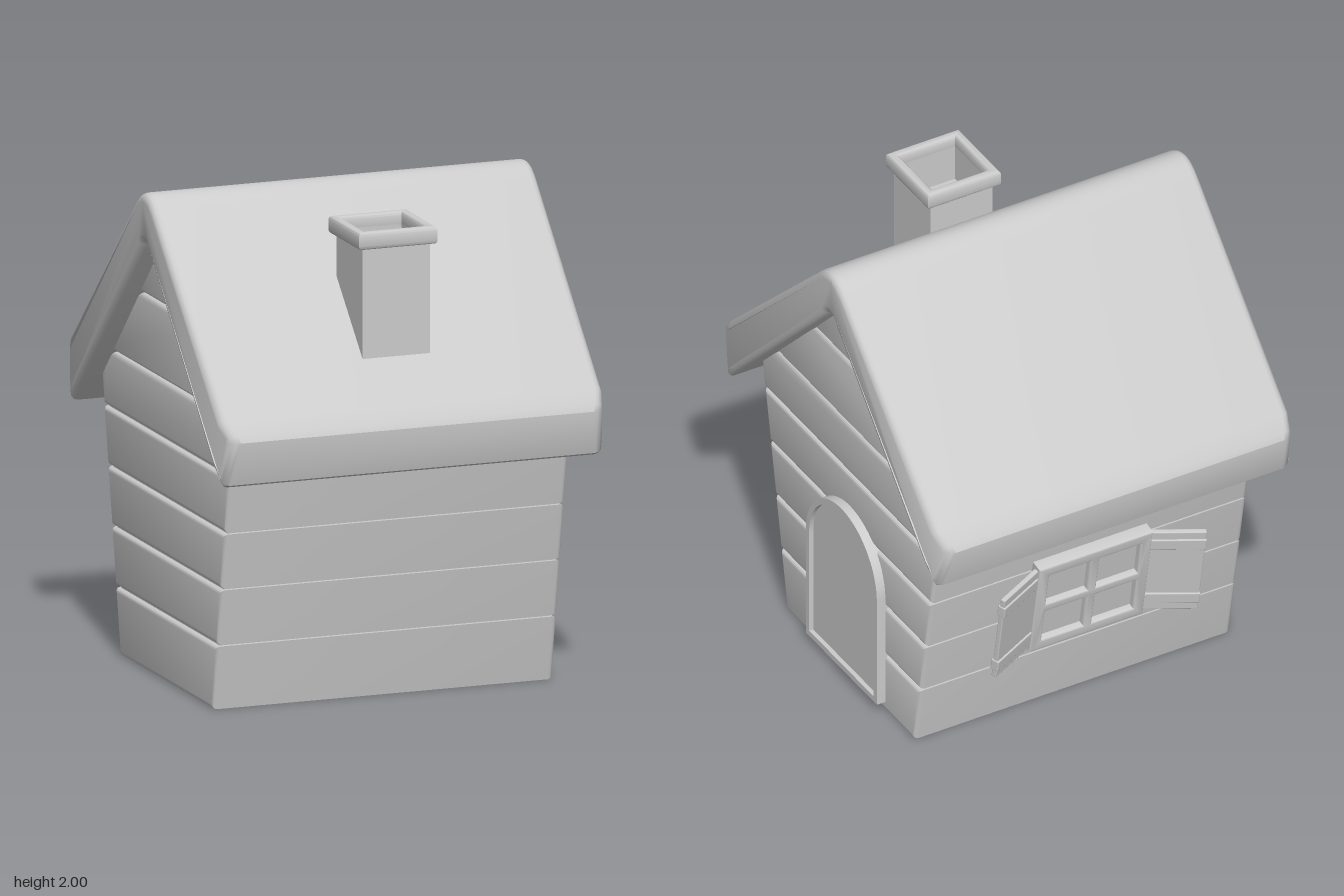
import * as THREE from 'three';
import { toCreasedNormals } from 'three/addons/utils/BufferGeometryUtils.js';
import { RoundedBoxGeometry } from 'three/addons/geometries/RoundedBoxGeometry.js';

const mat = new THREE.MeshStandardMaterial({ color: 0xcccccc, side: THREE.DoubleSide });

function add(parent, name, geometry, x = 0, y = 0, z = 0) {
  const mesh = new THREE.Mesh(geometry, mat);
  mesh.name = name;
  mesh.position.set(x, y, z);
  parent.add(mesh);
  return mesh;
}

const polygon = (pts) => new THREE.Shape(pts.map(([x, y]) => new THREE.Vector2(x, y)));

// Extrusion centred on its depth, with a bevel that stays inside the outline
function extrude(shape, depth, bevel, curveSegments = 12) {
  const geo = new THREE.ExtrudeGeometry(shape, {
    depth: depth - 2 * bevel, bevelEnabled: bevel > 0, bevelThickness: bevel,
    bevelSize: bevel, bevelOffset: -bevel, bevelSegments: 3, curveSegments,
  });
  geo.translate(0, 0, -(depth - 2 * bevel) / 2);
  return geo;
}

const alongX = (geo) => geo.rotateY(Math.PI / 2);
const smooth = (geo) => toCreasedNormals(geo, 0.65);

// Wall half width (in z) at height y: flares outward, then follows the gable
const SLOPE = 0.178, EAVE_Y = 1.167;
const wallZ = (y) => Math.max(0.004, Math.min(0.505 + SLOPE * y, 1.88 - y));

function wallShape(y0, y1, inset = 0) {
  const ys = [y0, y1];
  if (y0 < EAVE_Y && y1 > EAVE_Y) ys.splice(1, 0, EAVE_Y);
  const right = ys.map((y) => [wallZ(y) - inset, y]);
  return polygon([...right, ...right.slice().reverse().map(([z, y]) => [-z, y])]);
}

function makeWalls() {
  const walls = new THREE.Group();
  walls.name = 'walls';
  add(walls, 'wallCore', alongX(extrude(wallShape(0.02, 1.83, 0.018), 1.41, 0)));
  const seams = [0, 0.27, 0.508, 0.745, 0.983, 1.223, 1.53, 1.85];
  for (let i = 0; i < seams.length - 1; i++) {
    const y0 = seams[i] + (i ? 0.004 : 0);
    const shape = wallShape(y0, seams[i + 1] - 0.004);
    add(walls, 'plank', smooth(alongX(extrude(shape, 1.45, 0.02))));
  }
  return walls;
}

// Thick bent roof, with the ends of the eaves pulled in to round the corners
function makeRoof() {
  const side = [[0.82, 1.248], [0.872, 1.197], [0.886, 1.17], [0.832, 0.988], [0.812, 0.978], [0.74, 1.052]];
  const s = new THREE.Shape();
  s.moveTo(0.05, 1.765);
  s.quadraticCurveTo(0, 1.85, -0.05, 1.765);
  for (const [z, y] of side.slice().reverse()) s.lineTo(-z, y);
  s.lineTo(-0.1, 1.95);
  s.quadraticCurveTo(0, 2.05, 0.1, 1.95);
  for (const [z, y] of side) s.lineTo(z, y);
  s.closePath();
  const geo = alongX(extrude(s, 1.64, 0.03, 10));
  const p = geo.attributes.position;
  for (let i = 0; i < p.count; i++) {
    const t = THREE.MathUtils.clamp((Math.abs(p.getZ(i)) - 0.76) / 0.13, 0, 1);
    p.setX(i, p.getX(i) * (1 - 0.05 * t * t));
  }
  const roof = new THREE.Mesh(toCreasedNormals(geo, 0.75), mat);
  roof.name = 'roof';
  return roof;
}

function squareRing(outer, inner) {
  const square = (r) => [[-r, -r], [r, -r], [r, r], [-r, r]];
  const s = polygon(square(outer));
  s.holes.push(polygon(square(inner).reverse()));
  return s;
}

function makeChimney() {
  const chimney = new THREE.Group();
  chimney.name = 'chimney';
  const upright = (geo) => smooth(geo.rotateX(-Math.PI / 2));
  add(chimney, 'chimneyShaft', upright(extrude(squareRing(0.143, 0.128), 0.62, 0)), 0, 1.57, 0);
  add(chimney, 'chimneyCap', upright(extrude(squareRing(0.167, 0.128), 0.072, 0.014)), 0, 1.894, 0);
  add(chimney, 'chimneyFloor', new THREE.BoxGeometry(0.26, 0.02, 0.26), 0, 1.71, 0);
  chimney.position.z = 0.51;
  return chimney;
}

function archShape(r, bottom, spring) {
  const s = new THREE.Shape();
  s.moveTo(-r, bottom);
  s.lineTo(r, bottom);
  s.lineTo(r, spring);
  s.absarc(0, spring, r, 0, Math.PI, false);
  s.closePath();
  return s;
}

function makeDoor() {
  const door = new THREE.Group();
  door.name = 'door';
  const frame = archShape(0.28, 0.043, 0.55);
  frame.holes.push(archShape(0.255, 0.068, 0.55));
  add(door, 'doorFrame', smooth(alongX(extrude(frame, 0.08, 0, 20))), 0.724);
  add(door, 'doorPanel', smooth(alongX(extrude(archShape(0.26, 0.06, 0.55), 0.06, 0, 20))), 0.715);
  return door;
}

function rect(x, y, w, h) {
  return polygon([[x - w / 2, y - h / 2], [x + w / 2, y - h / 2], [x + w / 2, y + h / 2], [x - w / 2, y + h / 2]]);
}

// Four-pane window with a pair of half-open shutters, leaning with the back wall
function makeWindow() {
  const win = new THREE.Group();
  win.name = 'window';
  const frame = rect(0, 0, 0.52, 0.46);
  for (const sx of [-1, 1])
    for (const sy of [-1, 1]) frame.holes.push(rect(sx * 0.115, sy * 0.1, 0.19, 0.16));
  add(win, 'windowFrame', smooth(extrude(frame, 0.08, 0.008)), 0, 0, 0.015);
  add(win, 'windowPanes', new THREE.BoxGeometry(0.48, 0.42, 0.04), 0, 0, 0.005);
  for (const s of [-1, 1]) {
    const shutter = new THREE.Group();
    shutter.name = s > 0 ? 'rightShutter' : 'leftShutter';
    add(shutter, 'shutterPanel', new RoundedBoxGeometry(0.23, 0.43, 0.022, 2, 0.005), s * 0.115, 0, 0);
    for (const y of [-0.15, 0.15])
      add(shutter, 'shutterBatten', new RoundedBoxGeometry(0.236, 0.055, 0.036, 2, 0.005), s * 0.115, y, 0);
    shutter.position.set(s * 0.258, 0, 0.03);
    shutter.rotation.y = -s * 0.42;
    win.add(shutter);
  }
  const y = 0.565;
  win.position.set(0, y, -wallZ(y));
  win.rotation.set(Math.atan(SLOPE), Math.PI, 0, 'YXZ');
  return win;
}

export function createModel() {
  const house = new THREE.Group();
  house.name = 'house';
  house.add(makeWalls(), makeRoof(), makeChimney(), makeDoor(), makeWindow());
  return house;
}
